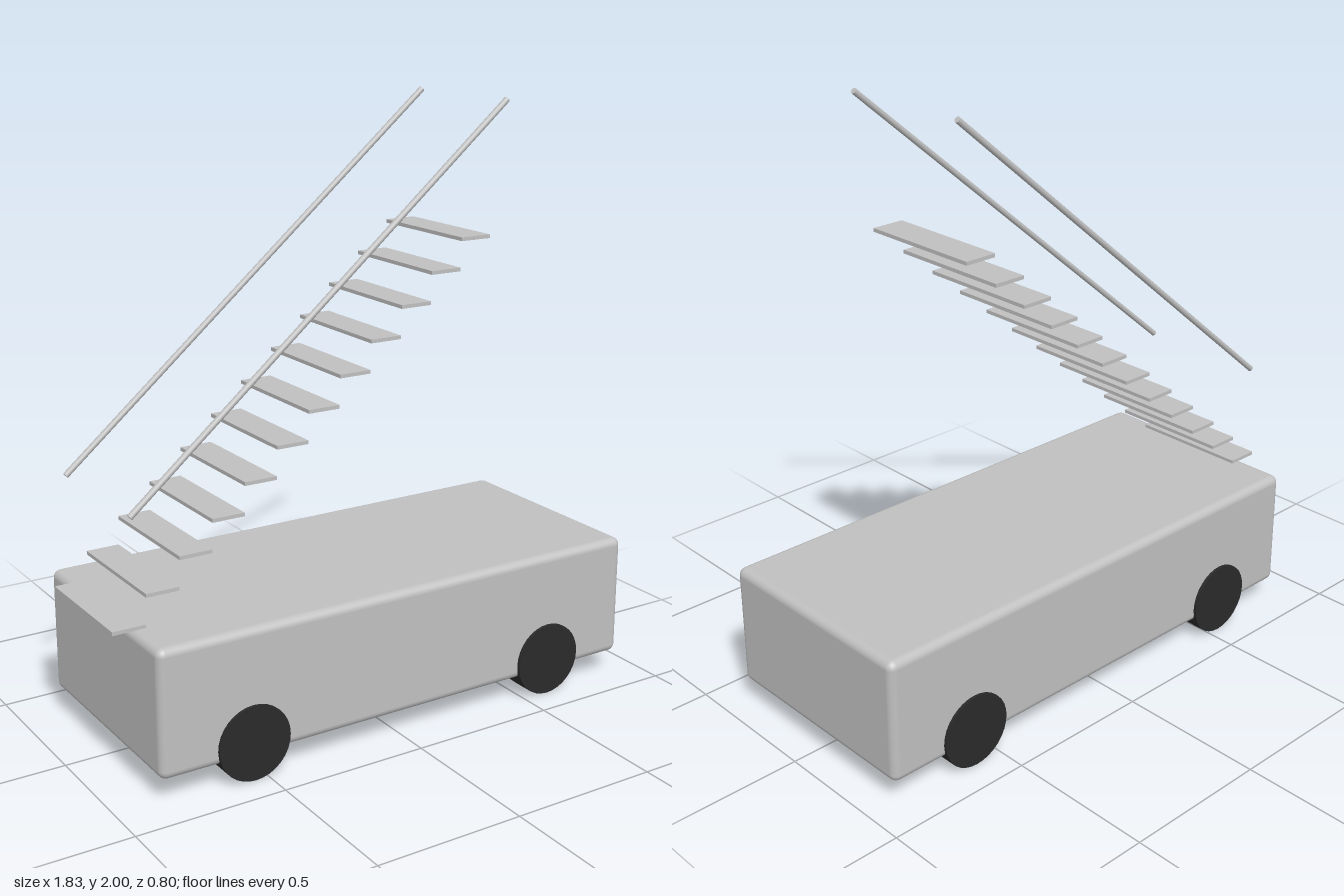
import * as THREE from 'three';
import { RoundedBoxGeometry } from 'three/addons/geometries/RoundedBoxGeometry.js';

export function createModel() {
  const group = new THREE.Group();
  const grey = new THREE.MeshStandardMaterial({ color: 0xc0c0c0 });
  grey.name = 'light grey';
  const black = new THREE.MeshStandardMaterial({ color: 0x2a2a2a });
  black.name = 'tyre black';

  const add = (name, geometry, material, x, y, z) => {
    const mesh = new THREE.Mesh(geometry, material);
    mesh.name = name;
    mesh.position.set(x, y, z);
    group.add(mesh);
    return mesh;
  };

  // Vehicle body with softly rounded edges
  add('body', new RoundedBoxGeometry(1.772, 0.42, 0.78, 3, 0.027), grey, 0.027, 0.287, 0);

  // Four wheels, just proud of the body sides
  const wheel = new THREE.CylinderGeometry(0.124, 0.124, 0.088, 32).rotateX(Math.PI / 2);
  for (const [end, x] of [['rear', -0.545], ['front', 0.595]]) {
    for (const side of [-1, 1]) add(end + 'Wheel', wheel, black, x, 0.125, side * 0.356);
  }

  // Flight of floating stair treads
  const tread = new THREE.BoxGeometry(0.111, 0.012, 0.427);
  for (let i = 0; i < 12; i++) {
    add('stairTread', tread, grey, -0.864 + i * 0.1139, 0.502 + i * 0.0962, 0);
  }

  // Handrails parallel to the stairs
  const low = new THREE.Vector2(-0.858, 0.86), high = new THREE.Vector2(0.485, 1.992);
  const rail = new THREE.CylinderGeometry(0.01, 0.01, low.distanceTo(high), 12);
  for (const side of [-1, 1]) {
    const mesh = add('handrail', rail, grey, (low.x + high.x) / 2, (low.y + high.y) / 2, side * 0.231);
    mesh.rotation.z = high.clone().sub(low).angle() - Math.PI / 2;
  }

  return group;
}
